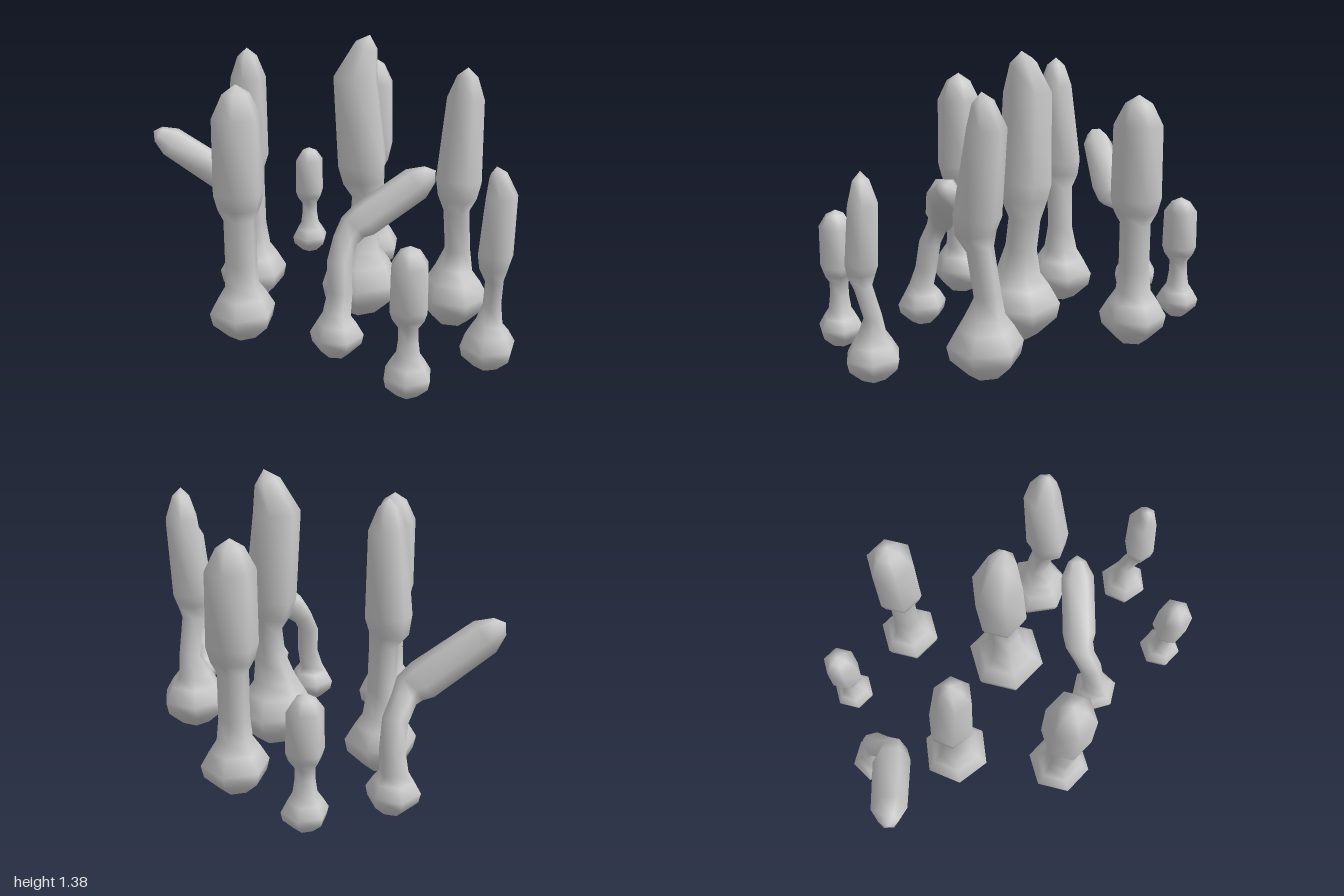
import * as THREE from 'three';

const SIDES = 6;
const vec = (p) => new THREE.Vector3(...p);

// Skin a row of rings [centre, radius]; first and last are the pointed ends
function skin(rings, turn) {
  const pos = [], index = [];
  const last = rings.length - 1;
  rings.forEach(([c, r], i) => {
    if (i === 0 || i === last) { pos.push(c.x, c.y, c.z); return; }
    const t = rings[i + 1][0].clone().sub(rings[i - 1][0]).normalize();
    const u = new THREE.Vector3(1, 0, 0).addScaledVector(t, -t.x).normalize();
    const v = t.clone().cross(u);
    for (let j = 0; j < SIDES; j++) {
      const a = turn + (j / SIDES) * Math.PI * 2;
      const p = c.clone().addScaledVector(u, r * Math.cos(a)).addScaledVector(v, r * Math.sin(a));
      pos.push(p.x, p.y, p.z);
    }
  });
  const at = (i, j) => 1 + (i - 1) * SIDES + (j % SIDES);
  const top = pos.length / 3 - 1;
  for (let j = 0; j < SIDES; j++) {
    index.push(0, at(1, j + 1), at(1, j));
    for (let i = 1; i < last - 1; i++) {
      index.push(at(i, j), at(i, j + 1), at(i + 1, j));
      index.push(at(i, j + 1), at(i + 1, j + 1), at(i + 1, j));
    }
    index.push(at(last - 1, j), at(last - 1, j + 1), top);
  }
  const g = new THREE.BufferGeometry();
  g.setAttribute('position', new THREE.Float32BufferAttribute(pos, 3));
  g.setIndex(index);
  g.computeVertexNormals();
  return g;
}

// Bulb outline in units of its radius: [height, radius]
const BULB = [[0, 0], [0.15, 0.45], [0.6, 0.92], [0.97, 1], [1.42, 0.74], [1.75, 0.52]];

// bulb: [x, y, z, radius]; neck: points with one radius; cap: from, to, tip
function stalk({ bulb: [x, y, z, r], neck, neckR, from, fromR, to, toR, tip, turn = 0 }) {
  const a = vec(from), b = vec(to), end = vec(tip);
  return skin([
    ...BULB.map(([h, k]) => [new THREE.Vector3(x, y + h * r, z), k * r]),
    ...neck.map((p) => [vec(p), neckR]),
    [a, fromR * 0.85],
    [a.clone().lerp(b, 0.17), fromR],
    [b, toR],
    [b.clone().lerp(end, 0.72), toR * 0.55],
    [end, 0],
  ], turn);
}

// Upright stalk with everything on one axis
function upright(x, y, z, r, neckR, capR, neckTop, capTop, tipY) {
  return {
    bulb: [x, y, z, r], neckR, fromR: capR, toR: capR * 0.96,
    neck: [[x, y + r * 2.4, z], [x, neckTop, z]],
    from: [x, neckTop + capR * 0.45, z], to: [x, capTop, z], tip: [x, tipY, z],
  };
}

const STALKS = {
  frontStalk: upright(-0.14, 0.045, 0.53, 0.155, 0.075, 0.117, 0.63, 1.09, 1.23),
  backStalk: upright(-0.17, 0.03, -0.54, 0.155, 0.07, 0.115, 0.62, 1.07, 1.205),
  smallFrontStalk: upright(0.72, 0.03, 0.485, 0.107, 0.046, 0.086, 0.35, 0.61, 0.69),
  smallBackStalk: upright(-0.6, 0.03, -0.53, 0.103, 0.044, 0.083, 0.33, 0.585, 0.655),
  centreStalk: {
    bulb: [0.09, 0.01, -0.065, 0.2], neckR: 0.075,
    neck: [[0.095, 0.48, -0.085], [0.095, 0.62, -0.105]],
    from: [0.085, 0.7, -0.095], fromR: 0.125, to: [0.045, 1.2, -0.08], toR: 0.112,
    tip: [0.11, 1.39, -0.1],
  },
  rightStalk: {
    bulb: [-0.46, 0.01, 0.105, 0.17], neckR: 0.067, turn: -0.15,
    neck: [[-0.455, 0.42, 0.105], [-0.455, 0.64, 0.11]],
    from: [-0.475, 0.7, 0.12], fromR: 0.108, to: [-0.435, 1.17, 0.13], toR: 0.085,
    tip: [-0.44, 1.31, 0.13],
  },
  leftStalk: {
    bulb: [0.515, 0.01, -0.235, 0.17], neckR: 0.06, turn: 0.4,
    neck: [[0.52, 0.4, -0.255], [0.525, 0.6, -0.22]],
    from: [0.535, 0.67, -0.205], fromR: 0.105, to: [0.525, 1.12, -0.265], toR: 0.085,
    tip: [0.54, 1.265, -0.25],
  },
  farLeftStalk: {
    bulb: [0.87, 0.03, 0.085, 0.125], neckR: 0.042, turn: -0.2,
    neck: [[0.875, 0.33, 0.07], [0.895, 0.46, 0.1]],
    from: [0.895, 0.52, 0.108], fromR: 0.078, to: [0.897, 0.82, 0.078], toR: 0.07,
    tip: [0.88, 0.95, 0.105],
  },
  bentRightStalk: {
    bulb: [-0.77, 0.03, -0.17, 0.12], neckR: 0.056, turn: 0.52,
    neck: [[-0.765, 0.34, -0.18], [-0.75, 0.46, -0.15], [-0.735, 0.53, -0.08]],
    from: [-0.725, 0.56, -0.03], fromR: 0.088, to: [-0.925, 0.79, 0.2], toR: 0.08,
    tip: [-0.98, 0.85, 0.265],
  },
  bentLeftStalk: {
    bulb: [0.29, 0.03, 0.39, 0.12], neckR: 0.055, turn: 0.52,
    neck: [[0.285, 0.33, 0.36], [0.27, 0.46, 0.345], [0.265, 0.55, 0.295]],
    from: [0.275, 0.6, 0.25], fromR: 0.08, to: [0.465, 0.785, 0.045], toR: 0.078,
    tip: [0.525, 0.84, -0.02],
  },
};

export function createModel() {
  const group = new THREE.Group();
  const material = new THREE.MeshStandardMaterial({ color: 0xcccccc });
  for (const [name, spec] of Object.entries(STALKS)) {
    const mesh = new THREE.Mesh(stalk(spec), material);
    mesh.name = name;
    group.add(mesh);
  }
  return group;
}
